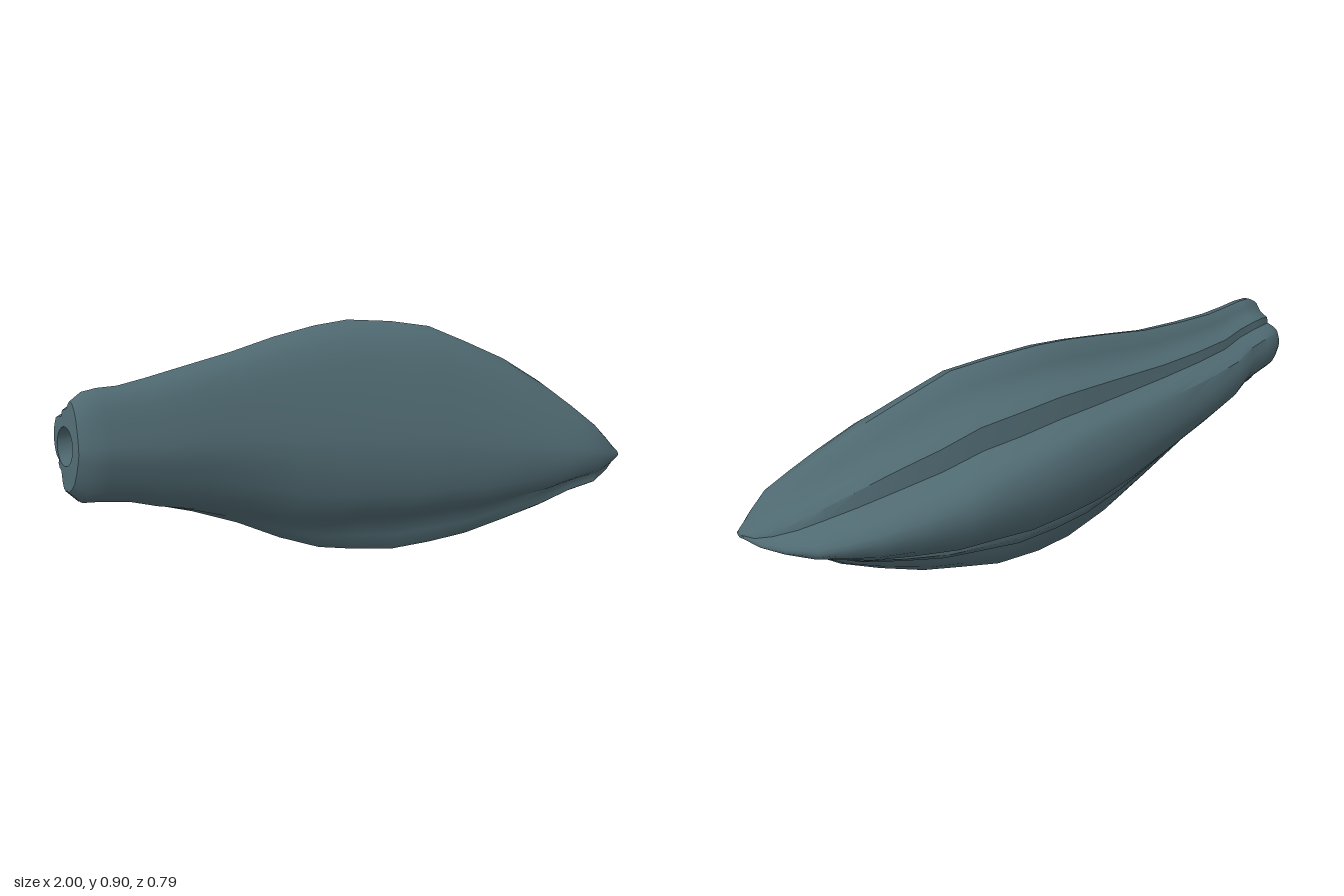
import * as THREE from 'three';
import { toCreasedNormals } from 'three/addons/utils/BufferGeometryUtils.js';

// Lobed cross-section from the top crest round the front: [depth fraction back..front, height fraction,
// height shift towards the stem, height shift towards the tip]
const PROFILE = [
  [0.62, 1], [0.7, 0.98], [0.77, 0.935], [0.84, 0.85], [0.9, 0.745], [0.95, 0.64], [0.985, 0.555], [1, 0.485], [0.99, 0.4],
  [0.962, 0.31, -0.03], [0.905, 0.235, -0.09], [0.825, 0.19, -0.12], [0.745, 0.155, -0.135],
  [0.69, 0.08, -0.07], [0.66, 0.02], [0.62, 0], [0.54, 0.015],
  [0.47, 0.07], [0.42, 0.135], [0.385, 0.19], [0.31, 0.205], [0.255, 0.25], [0.255, 0.295], [0.15, 0.325], [0.07, 0.4],
  [0.015, 0.49], [0, 0.56], [0.015, 0.64, 0, -0.03], [0.06, 0.725, 0, -0.07], [0.13, 0.755, 0, -0.07],
  [0.28, 0.775, 0, -0.07], [0.3, 0.85, 0, -0.03], [0.38, 0.87, 0, -0.01], [0.46, 0.89], [0.52, 0.935], [0.57, 0.98],
];

// Stations along the pod: [x, bottom, top, back, front, depth fraction of the top crest]
const STATIONS = [
  [-0.98, 0.45, 0.755, -0.335, -0.12, 0.57], [-0.94, 0.405, 0.78, -0.355, -0.1, 0.57],
  [-0.88, 0.395, 0.785, -0.36, -0.09, 0.57], [-0.8, 0.375, 0.782, -0.36, -0.08, 0.57],
  [-0.7, 0.335, 0.79, -0.388, -0.065, 0.57], [-0.55, 0.275, 0.81, -0.395, -0.05, 0.57],
  [-0.38, 0.195, 0.835, -0.388, -0.03, 0.57], [-0.22, 0.105, 0.87, -0.378, 0.01, 0.56],
  [-0.07, 0.04, 0.895, -0.365, 0.055, 0.56], [0.05, 0.015, 0.905, -0.35, 0.095, 0.56],
  [0.2, 0, 0.89, -0.322, 0.15, 0.59], [0.33, 0.02, 0.865, -0.288, 0.2, 0.62],
  [0.46, 0.045, 0.8, -0.243, 0.255, 0.62], [0.6, 0.095, 0.725, -0.175, 0.31, 0.62],
  [0.72, 0.145, 0.635, -0.1, 0.355, 0.64], [0.81, 0.205, 0.55, -0.03, 0.383, 0.7],
  [0.88, 0.247, 0.475, 0.04, 0.392, 0.82], [0.94, 0.285, 0.41, 0.14, 0.386, 0.82],
  [0.98, 0.307, 0.368, 0.235, 0.375, 0.75], [1, 0.322, 0.347, 0.325, 0.365, 0.62],
];

// One lobed ring, slanted at the stem end, with the bottom crest leaning forward near the tip
function sectionRing([x, y0, y1, z0, z1, crest]) {
  const stem = THREE.MathUtils.clamp((0.1 - x) / 0.8, 0, 1);
  const tip = THREE.MathUtils.clamp((x + 0.4) / 1, 0, 1);
  const slant = 0.13 * THREE.MathUtils.clamp((-x - 0.8) / 0.18, 0, 1);
  return PROFILE.map(([u, pv, stemShift = 0, tipShift = 0]) => {
    const v = pv + stemShift * stem + tipShift * tip;
    const lean = crest - 0.62 + 0.09 * tip * (1 - v);
    const w = u + lean * (u < 0.62 ? (u / 0.62) ** 2 : (1 - u) / 0.38);
    const y = y0 + (y1 - y0) * v;
    return new THREE.Vector3(x + (y - 0.6) * slant, y, z0 + (z1 - z0) * w);
  });
}

// Round ring whose points line up with the given lobed ring
function roundRing(ring, x, y, z, r) {
  return ring.map((p) => {
    const a = Math.atan2(p.z - z, p.y - y);
    const py = y + r * Math.cos(a);
    return new THREE.Vector3(x + (py - 0.6) * 0.13, py, z + r * Math.sin(a));
  });
}

// Skin a list of rings, optionally closing the first or last one
function loft(rings, capFirst, capLast) {
  const n = rings[0].length;
  const points = rings.flat();
  const index = [];
  for (let s = 0; s < rings.length - 1; s++) {
    for (let i = 0; i < n; i++) {
      const j = (i + 1) % n;
      const a = s * n + i, b = s * n + j;
      index.push(a, b, a + n, b, b + n, a + n);
    }
  }
  const cap = (s, flip) => {
    const centre = new THREE.Vector3();
    rings[s].forEach((p) => centre.addScaledVector(p, 1 / n));
    const c = points.push(centre) - 1;
    for (let i = 0; i < n; i++) {
      const a = s * n + i, b = s * n + ((i + 1) % n);
      if (flip) index.push(c, b, a);
      else index.push(c, a, b);
    }
  };
  if (capFirst) cap(0, true);
  if (capLast) cap(rings.length - 1, false);
  const geometry = new THREE.BufferGeometry().setFromPoints(points);
  geometry.setIndex(index);
  return toCreasedNormals(geometry, 0.65);
}

export function createModel() {
  const model = new THREE.Group();
  model.name = 'ribbedPod';
  const skin = new THREE.MeshStandardMaterial({ color: 0x4f6971 });
  skin.name = 'slate teal';

  // Curved, ribbed body tapering to the tip
  const rings = STATIONS.map(sectionRing);
  const body = new THREE.Mesh(loft(rings, false, true), skin);
  body.name = 'podBody';

  // Stem end face with its round socket
  const end = rings[0];
  const socket = [
    roundRing(end, -0.88, 0.6, -0.225, 0.055),
    roundRing(end, -0.985, 0.6, -0.225, 0.065),
    end,
  ];
  const stemEnd = new THREE.Mesh(loft(socket, true, false), skin);
  stemEnd.name = 'stemSocket';

  model.add(body, stemEnd);
  return model;
}
